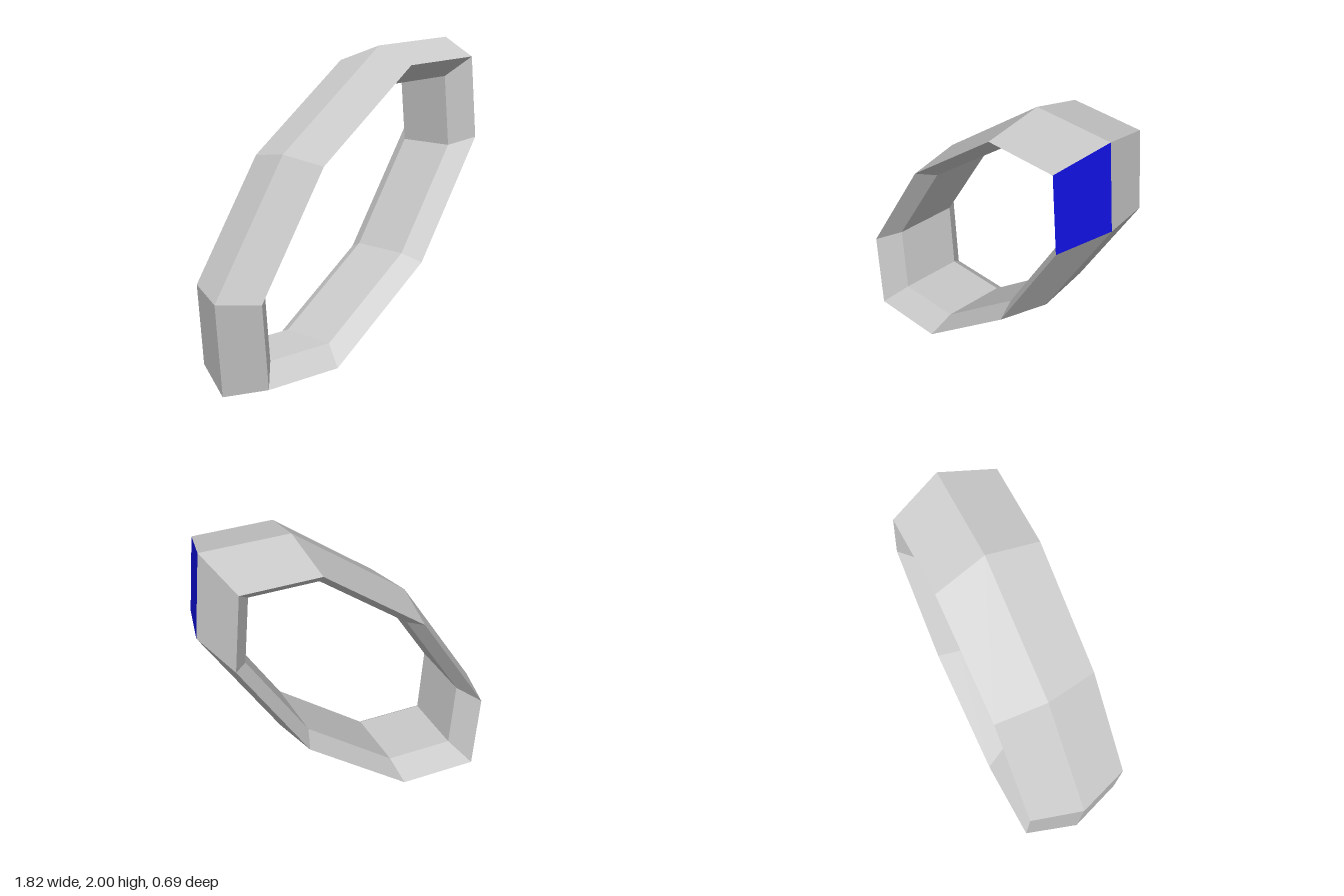
import * as THREE from 'three';

// Half of the stretched octagon, clockwise about its centre; the rest is point-mirrored
const half = [[0.862, 1], [0.908, 0.45], [0.42, -0.365], [-0.31, -0.965]];
const outline = [...half, ...half.map(([x, y]) => [-x, -y])];

// Band cross-section: [scale of outline, depth], starting at the outer ridge
const profile = [[1, 0], [0.895, 0.326], [0.775, 0.2], [0.775, -0.2], [0.895, -0.326]];
const names = ['outerFront', 'frontBevel', 'innerWall', 'backBevel', 'outerBack'];

// A point of the ring, with the ring's slight turn about the vertical
function ringPoint(i, k) {
  const [x, y] = outline[i % outline.length];
  const [s, d] = profile[k % profile.length];
  return [s * x - 0.023 * d, 1 + s * y + 0.004 * d, d + 0.022 * s * x];
}

// Flat panels of one strip of the band, for the given octagon sides
function panels(name, k, sides, material) {
  const positions = [];
  for (const i of sides) {
    const a = ringPoint(i, k), b = ringPoint(i + 1, k);
    const c = ringPoint(i + 1, k + 1), d = ringPoint(i, k + 1);
    positions.push(...a, ...d, ...c, ...a, ...c, ...b);
  }
  const geometry = new THREE.BufferGeometry();
  geometry.setAttribute('position', new THREE.Float32BufferAttribute(positions, 3));
  geometry.computeVertexNormals();
  const mesh = new THREE.Mesh(geometry, material);
  mesh.name = name;
  return mesh;
}

export function createModel() {
  const grey = new THREE.MeshStandardMaterial({ color: 0xcccccc, flatShading: true });
  const blue = new THREE.MeshStandardMaterial({ color: 0x1010dd, flatShading: true });
  const group = new THREE.Group();
  group.name = 'octagonalRing';
  const all = outline.map((_, i) => i);

  // Strips of the band; the first side of the outer front is the coloured panel
  names.forEach((name, k) => {
    group.add(panels(name, k, k === 0 ? all.slice(1) : all, grey));
  });
  group.add(panels('bluePanel', 0, [0], blue));
  return group;
}
